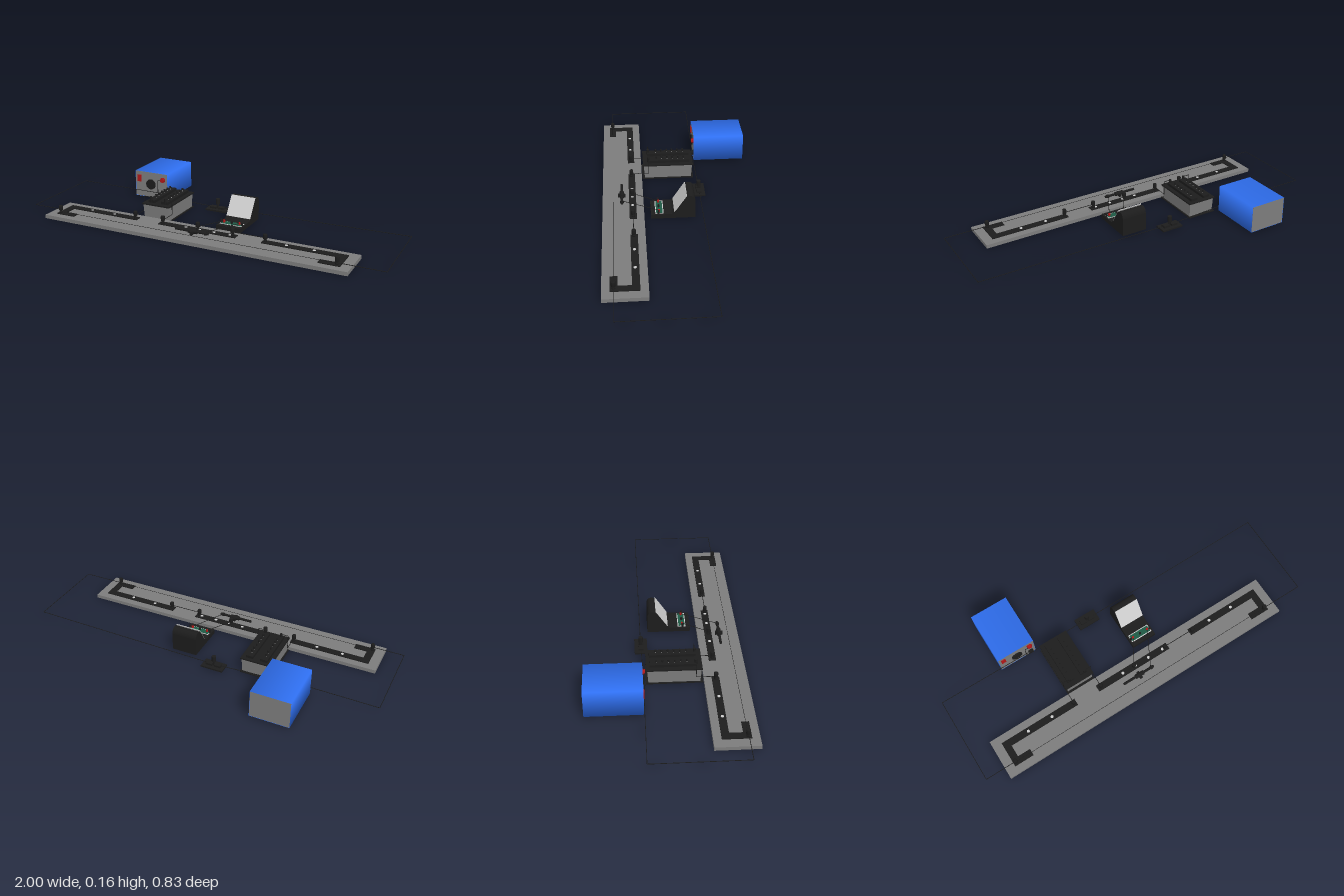
import * as THREE from 'three';

const mat = (color) => new THREE.MeshStandardMaterial({ color, side: THREE.DoubleSide });
const BLACK = mat(0x1c1c1c), GREY = mat(0x7c7c7c), LIGHT = mat(0xcccccc);
const BLUE = mat(0x2f6ff0), RED = mat(0xb01818), GREEN = mat(0x1f5a45);

function add(parent, name, geometry, material, x = 0, y = 0, z = 0) {
  const mesh = new THREE.Mesh(geometry, material);
  mesh.name = name;
  mesh.position.set(x, y, z);
  parent.add(mesh);
  return mesh;
}

// Box given by its limits on each axis
const box = (p, name, m, x0, x1, y0, y1, z0, z1) =>
  add(p, name, new THREE.BoxGeometry(x1 - x0, y1 - y0, z1 - z0), m, (x0 + x1) / 2, (y0 + y1) / 2, (z0 + z1) / 2);

// Upright cylinder standing on y0
const rod = (p, name, m, x, y0, z, r, h, r2 = r) =>
  add(p, name, new THREE.CylinderGeometry(r2, r, h, 20), m, x, y0 + h / 2, z);

// Cylinder along x or z
function lying(p, name, m, axis, x, y, z, r, h) {
  const mesh = add(p, name, new THREE.CylinderGeometry(r, r, h, 24), m, x, y, z);
  if (axis === 'x') mesh.rotation.z = Math.PI / 2; else mesh.rotation.x = Math.PI / 2;
  return mesh;
}

// Wire with straight runs through the given points
function wire(p, name, points, r = 0.0017) {
  const path = new THREE.CurvePath();
  const v = points.map((q) => new THREE.Vector3(...q));
  const g = new THREE.Group();
  g.name = name;
  for (let i = 1; i < v.length; i++) {
    add(g, 'wireRun', new THREE.TubeGeometry(new THREE.LineCurve3(v[i - 1], v[i]), 1, r, 6), BLACK);
  }
  p.add(g);
}

function group(parent, name) {
  const g = new THREE.Group();
  g.name = name;
  parent.add(g);
  return g;
}

// Binding post with a waist
function post(p, x, y, z) {
  const pts = [[0, 0], [0.009, 0], [0.009, 0.012], [0.006, 0.014], [0.006, 0.018], [0.011, 0.02], [0.011, 0.042], [0.009, 0.045], [0, 0.045]];
  add(p, 'bindingPost', new THREE.LatheGeometry(pts.map((q) => new THREE.Vector2(...q)), 20), BLACK, x, y, z);
}

function bridgeBoard(root) {
  const g = group(root, 'bridgeBoard');
  box(g, 'board', GREY, -0.89, 0.83, 0, 0.02, 0.19, 0.412);
  // L-shaped end strips, mirrored about the board's middle, and the straight centre strip
  for (const s of [-1, 1]) {
    const pts = [[0.365, 0.23], [0.81, 0.23], [0.81, 0.372], [0.70, 0.372], [0.70, 0.335], [0.772, 0.335], [0.772, 0.268], [0.365, 0.268]];
    const shape = new THREE.Shape(pts.map(([x, z]) => new THREE.Vector2(s * x - 0.03, -z)));
    const strip = add(g, 'endStrip', new THREE.ExtrudeGeometry(shape, { depth: 0.005, bevelEnabled: false }), BLACK, 0, 0.02, 0);
    strip.rotation.x = -Math.PI / 2;
    post(g, s * 0.793 - 0.033, 0.02, 0.355);
  }
  box(g, 'centreStrip', BLACK, -0.26, 0.19, 0.02, 0.025, 0.23, 0.268);
  for (const x of [-0.69, -0.545, -0.1, -0.02, 0.065, 0.155, 0.465, 0.61]) rod(g, 'screw', LIGHT, x, 0.024, 0.25, 0.008, 0.003);
  for (const x of [-0.41, -0.24, -0.03, 0.17, 0.35]) post(g, x, 0.02, 0.25);
  wire(g, 'bridgeWire', [[-0.825, 0.03, 0.355], [0.76, 0.03, 0.355]], 0.001);
  wire(g, 'gapWire', [[0.17, 0.045, 0.25], [0.35, 0.045, 0.25]]);

  // Sliding contact lying along the board
  const j = group(g, 'slidingContact');
  lying(j, 'contactHandle', BLACK, 'x', -0.035, 0.035, 0.307, 0.007, 0.19);
  lying(j, 'contactGrip', BLACK, 'x', -0.03, 0.035, 0.307, 0.012, 0.05);
  lying(j, 'contactCollar', BLACK, 'x', 0.045, 0.035, 0.307, 0.01, 0.012);
  box(j, 'contactFoot', BLACK, -0.037, -0.023, 0.02, 0.038, 0.288, 0.328);
}

function powerSupply(root) {
  const g = group(root, 'powerSupply');
  // Four-sided sleeve with smooth shading across its corners
  const shell = new THREE.CylinderGeometry(Math.SQRT1_2, Math.SQRT1_2, 1, 4, 1, true, Math.PI / 4);
  shell.rotateX(Math.PI / 2);
  shell.scale(0.213, 0.152, 0.292);
  add(g, 'shell', shell, BLUE, -0.533, 0.084, -0.269);
  box(g, 'frontPanel', GREY, -0.638, -0.428, 0.009, 0.159, -0.128, -0.124);
  box(g, 'backPanel', GREY, -0.638, -0.428, 0.009, 0.159, -0.414, -0.41);
  for (const x of [-0.61, -0.456]) for (const z of [-0.165, -0.38]) rod(g, 'foot', LIGHT, x, 0, z, 0.015, 0.009);
  box(g, 'switch', RED, -0.625, -0.6, 0.097, 0.137, -0.124, -0.119);
  lying(g, 'dial', BLACK, 'z', -0.535, 0.088, -0.121, 0.03, 0.01);
  for (const [m, y] of [[RED, 0.124], [BLACK, 0.046]]) {
    lying(g, 'terminalCollar', m, 'z', -0.455, y, -0.122, 0.015, 0.006);
    lying(g, 'terminal', m, 'z', -0.455, y, -0.117, 0.012, 0.014);
  }
}

function resistanceBox(root) {
  const g = group(root, 'resistanceBox');
  g.position.x = -0.325;
  // Body slightly wider at the top
  const body = new THREE.CylinderGeometry(Math.SQRT1_2, Math.SQRT1_2 * 0.96, 1, 4, 1, false, Math.PI / 4).toNonIndexed();
  body.scale(0.156, 0.08, 0.276);
  body.computeVertexNormals();
  add(g, 'body', body, GREY, 0, 0.044, 0.04);
  box(g, 'basePlate', BLACK, -0.083, 0.083, 0, 0.005, -0.105, 0.187);
  box(g, 'lid', BLACK, -0.084, 0.084, 0.083, 0.09, -0.103, 0.182);
  for (const s of [-1, 1]) {
    box(g, 'contactBar', BLACK, s * 0.04 - 0.02, s * 0.04 + 0.02, 0.09, 0.105, -0.085, 0.155);
    for (let i = 0; i < 6; i++) {
      const z = 0.105 - i * 0.031;
      rod(g, 'plugStem', LIGHT, s * 0.04, 0.105, z, 0.002, 0.01);
      rod(g, 'plug', BLACK, s * 0.04, 0.109, z, 0.004, 0.014, 0.005);
    }
    rod(g, 'terminalPost', BLACK, s * 0.045, 0.09, 0.15, 0.007, 0.033);
    wire(g, 'boxLead', [[s * 0.045, 0.12, 0.15], [s * 0.085, 0.12, 0.15], [s * 0.085, 0.04, 0.15], [s * 0.085, 0.04, 0.25]]);
  }
}

function meter(root) {
  const g = group(root, 'meter');
  // Side profile drawn with forward to the right, extruded across the width
  const s = new THREE.Shape();
  s.moveTo(-0.08, 0.004);
  s.lineTo(0.155, 0.004);
  s.lineTo(0.155, 0.028);
  s.lineTo(0.045, 0.03);
  s.quadraticCurveTo(0.034, 0.034, 0.02, 0.055);
  s.lineTo(-0.023, 0.12);
  s.quadraticCurveTo(-0.035, 0.137, -0.052, 0.137);
  s.quadraticCurveTo(-0.076, 0.137, -0.08, 0.105);
  const geo = new THREE.ExtrudeGeometry(s, { depth: 0.142, bevelEnabled: false, curveSegments: 8 });
  geo.rotateY(-Math.PI / 2);
  add(g, 'case', geo, BLACK, 0.171, 0, 0);
  // Pale dial following the sloping face
  const len = Math.hypot(0.065, 0.1);
  const face = add(g, 'dialFace', new THREE.BoxGeometry(0.14, len, 0.003), LIGHT, 0.1, 0.0885, -0.001);
  face.rotation.x = -Math.atan2(0.065, 0.1);
  // Terminal panel with pale frame
  box(g, 'panelFrame', LIGHT, 0.038, 0.162, 0.028, 0.03, 0.088, 0.132);
  box(g, 'panel', GREEN, 0.043, 0.157, 0.03, 0.032, 0.093, 0.127);
  for (const [x, m] of [[0.055, RED], [0.1, BLACK], [0.145, RED]]) {
    rod(g, 'meterTerminal', m, x, 0.03, 0.112, 0.006, 0.014);
  }
  for (const x of [0.04, 0.16]) rod(g, 'meterPost', BLACK, x, 0.028, 0.115, 0.006, 0.02);
}

function plugKey(root) {
  const g = group(root, 'plugKey');
  box(g, 'keyBase', BLACK, -0.16, -0.036, 0, 0.009, -0.155, -0.087);
  for (const x of [-0.122, -0.074]) box(g, 'keyContact', BLACK, x - 0.018, x + 0.018, 0.009, 0.02, -0.135, -0.107);
  rod(g, 'keyStem', BLACK, -0.098, 0.009, -0.121, 0.006, 0.03);
  rod(g, 'keyHandle', BLACK, -0.098, 0.036, -0.121, 0.012, 0.03);
}

export function createModel() {
  const root = new THREE.Group();
  root.name = 'meterBridgeExperiment';
  bridgeBoard(root);
  powerSupply(root);
  resistanceBox(root);
  meter(root);
  plugKey(root);
  // Connecting leads
  wire(root, 'leftLead', [[-0.455, 0.044, -0.118], [-0.998, 0.044, -0.122], [-0.998, 0.044, 0.355], [-0.83, 0.044, 0.355]]);
  wire(root, 'rightLead', [[0.76, 0.032, 0.355], [0.998, 0.032, 0.355], [0.998, 0.032, -0.122], [-0.074, 0.015, -0.122]]);
  wire(root, 'keyLead', [[-0.122, 0.015, -0.121], [-0.485, 0.03, -0.115], [-0.485, 0.12, -0.115], [-0.455, 0.124, -0.115]]);
  wire(root, 'meterLeadLeft', [[0.055, 0.04, 0.112], [-0.03, 0.04, 0.25]]);
  wire(root, 'meterLeadRight', [[0.145, 0.04, 0.112], [0.045, 0.04, 0.3]]);
  return root;
}
